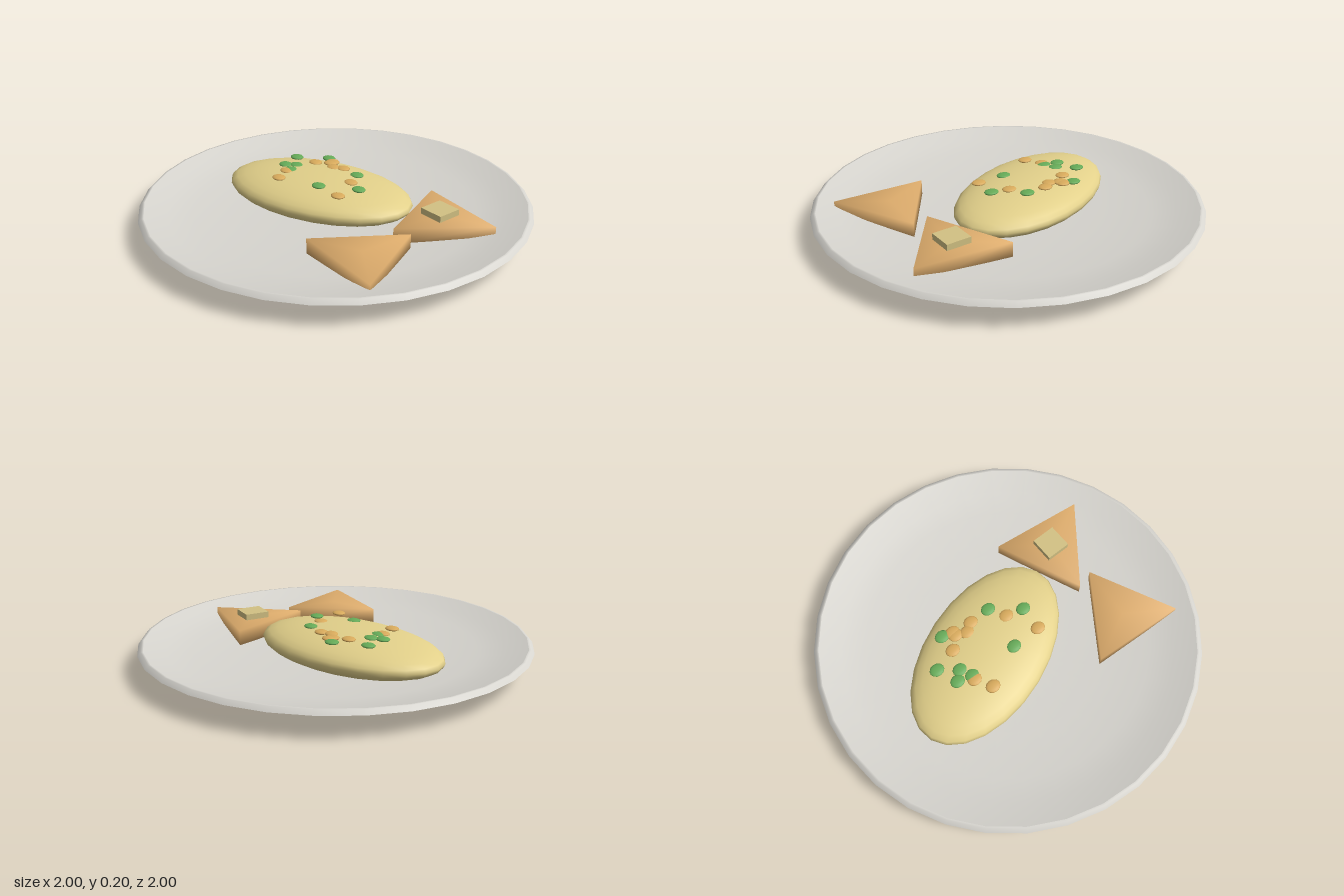
import * as THREE from 'three';
import { mergeVertices } from 'three/addons/utils/BufferGeometryUtils.js';

const material = (name, color) => {
  const m = new THREE.MeshStandardMaterial({ color });
  m.name = name;
  return m;
};

export function createModel() {
  const china = material('china', 0xd6d4ce);
  const egg = material('egg', 0xe2d08a);
  const bread = material('bread', 0xddac6c);
  const butterYellow = material('butter yellow', 0xd2c183);
  const green = material('green', 0x66ab58);
  const orange = material('orange', 0xd9ab5c);

  const model = new THREE.Group();
  model.name = 'breakfastPlate';

  const add = (name, geometry, mat, x = 0, y = 0, z = 0, parent = model) => {
    const mesh = new THREE.Mesh(geometry, mat);
    mesh.name = name;
    mesh.position.set(x, y, z);
    parent.add(mesh);
    return mesh;
  };

  // Plate: separate lathed bands keep the edges between them sharp
  const plate = new THREE.Group();
  plate.name = 'plate';
  model.add(plate);
  const bands = {
    plateBase: [[0, 0], [0.73, 0]],
    plateWall: [[0.73, 0], [1, 0.11]],
    plateRim: [[1, 0.11], [0.982, 0.13], [0.972, 0.13]],
    plateDish: [[0.972, 0.13], [0.86, 0.097], [0.73, 0.072], [0.5, 0.052], [0.25, 0.042], [0, 0.04]],
  };
  for (const [name, points] of Object.entries(bands)) {
    const profile = points.map(([r, y]) => new THREE.Vector2(r, y));
    add(name, new THREE.LatheGeometry(profile, 32), china, 0, 0, 0, plate);
  }

  // Omelette: flattened, turned ellipsoid
  const omelette = add('omelette', new THREE.SphereGeometry(1, 24, 16), egg, -0.145, 0.104, 0);
  omelette.scale.set(0.53, 0.098, 0.312);
  omelette.rotation.y = 0.36;

  // Toast: triangular slices with shared, soft corners
  const slice = new THREE.CylinderGeometry(0.282, 0.282, 0.085, 3);
  slice.deleteAttribute('normal');
  slice.deleteAttribute('uv');
  const softSlice = mergeVertices(slice, 1e-4);
  softSlice.computeVertexNormals();
  add('backToast', softSlice, bread, 0.5, 0.0875, -0.25).rotation.y = -0.124;
  add('frontToast', softSlice, bread, 0.535, 0.0875, 0.283).rotation.y = 3.067;

  // Butter pat
  add('butter', new THREE.BoxGeometry(0.13, 0.035, 0.13), butterYellow, 0.497, 0.1445, -0.25);

  // Vegetable pieces scattered over the omelette
  const piece = new THREE.SphereGeometry(0.039, 12, 8).scale(1, 0.25, 0.85);
  const scatter = (name, mat, spots) =>
    spots.forEach(([x, z]) => add(name, piece, mat, x, 0.194, z));
  scatter('greenPiece', green, [
    [-0.283, -0.18], [-0.41, -0.055], [-0.365, 0.055], [-0.32, 0.015],
    [-0.033, 0.088], [-0.01, -0.15], [0.132, -0.04], [-0.29, 0.075],
  ]);
  scatter('orangePiece', orange, [
    [-0.228, -0.165], [-0.225, -0.143], [-0.285, -0.088], [-0.17, -0.12], [-0.123, -0.15],
    [0.04, -0.065], [-0.293, 0.1], [-0.245, 0.185], [0.123, 0.088],
  ]);

  return model;
}
